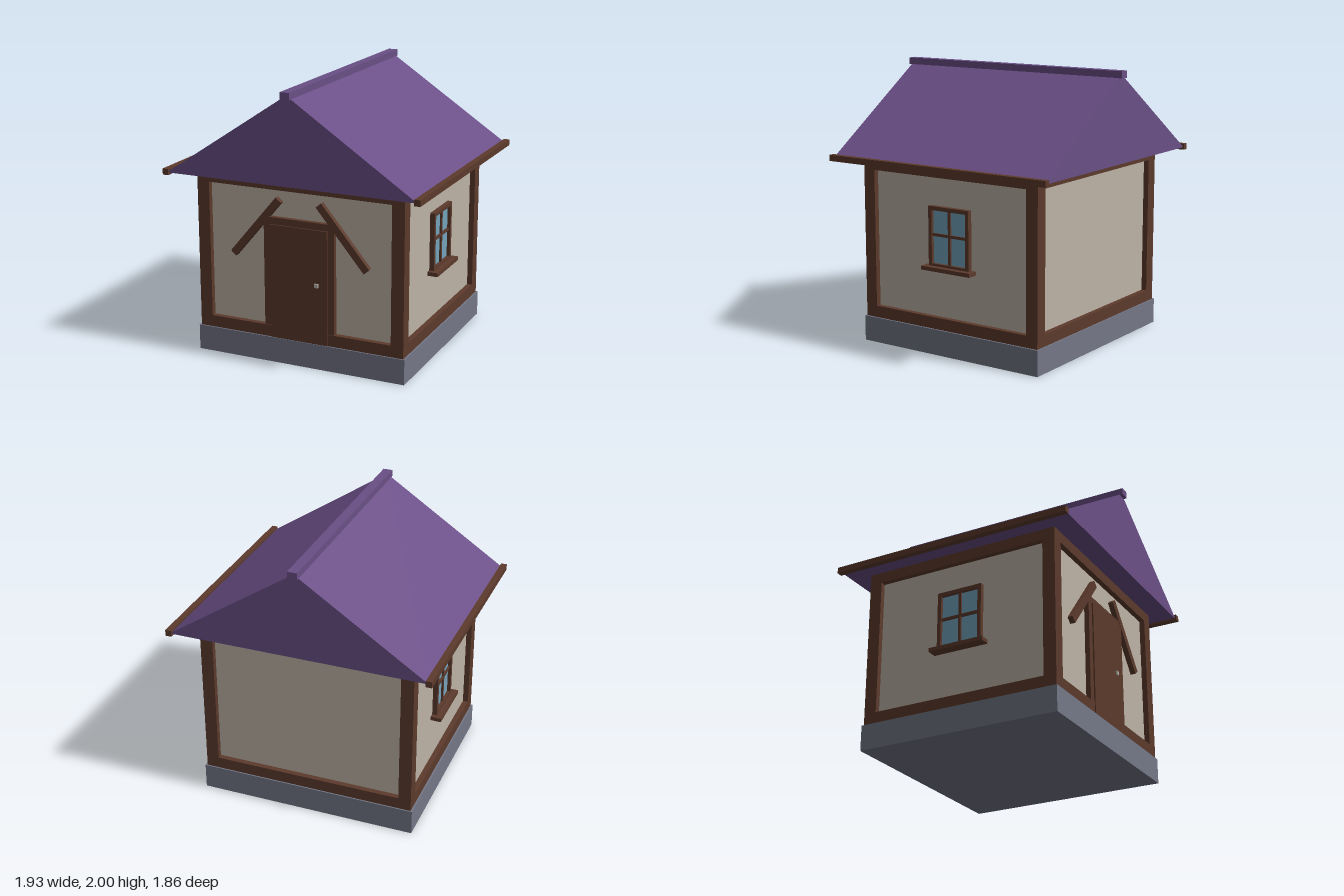
import * as THREE from 'three';

const mat = (name, color) => {
  const m = new THREE.MeshStandardMaterial({ color });
  m.name = name;
  return m;
};

export function createModel() {
  const wood = mat('dark wood', 0x5c3a2c);
  const plaster = mat('plaster', 0xbdb3a6);
  const stone = mat('stone', 0x747787);
  const purple = mat('roof purple', 0x6a4f86);
  const blue = mat('window glass', 0x74a3bc);
  const metal = mat('metal', 0xb5b2aa);

  const house = new THREE.Group();
  house.name = 'house';

  // Box given by its min and max corners
  const box = (name, m, [x0, y0, z0], [x1, y1, z1], parent = house) => {
    const mesh = new THREE.Mesh(new THREE.BoxGeometry(x1 - x0, y1 - y0, z1 - z0), m);
    mesh.position.set((x0 + x1) / 2, (y0 + y1) / 2, (z0 + z1) / 2);
    mesh.name = name;
    parent.add(mesh);
    return mesh;
  };

  // Foundation and recessed walls
  const W = 0.79, D = 0.745, P = 0.093, floor = 0.185, eave = 1.35;
  box('foundation', stone, [-0.803, 0, -0.755], [0.803, floor, 0.755]);
  box('walls', plaster, [-W + 0.04, floor, -D + 0.04], [W - 0.04, eave, D - 0.04]);

  // Timber frame: corner posts, sill beams and top beams
  for (const s of [-1, 1]) {
    for (const t of [-1, 1]) {
      const post = box('cornerPost', wood, [-P / 2, floor, -P / 2], [P / 2, eave, P / 2]);
      post.position.x = s * (W - P / 2);
      post.position.z = t * (D - P / 2);
    }
    for (const [y0, y1] of [[floor, 0.27], [1.27, eave]]) {
      const across = box('crossBeam', wood, [-W + P, y0, -P / 2], [W - P, y1, P / 2]);
      across.position.z = s * (D - P / 2);
      const along = box('sideBeam', wood, [-P / 2, y0, -D + P], [P / 2, y1, D - P]);
      along.position.x = s * (W - P / 2);
    }
  }

  // Door with frame and knob
  box('door', wood, [-0.22, floor, 0.69], [0.22, 1.02, 0.75]);
  box('doorKnob', metal, [0.127, 0.607, 0.75], [0.155, 0.635, 0.762]);
  for (const s of [-1, 1]) {
    const jamb = box('doorJamb', wood, [-0.025, floor, 0.69], [0.025, 1.02, 0.74]);
    jamb.position.x = s * 0.245;

    // Slanted brace beside the door
    const brace = box('brace', wood, [-0.28, -0.0265, 0.69], [0.28, 0.0265, 0.743]);
    brace.position.x = s * 0.333;
    brace.position.y = 0.984;
    brace.rotation.z = -s * Math.atan2(0.43, 0.36);
  }
  box('doorLintel', wood, [-0.27, 1.02, 0.69], [0.27, 1.07, 0.74]);

  // Side windows, built facing +x and turned for the other side
  for (const s of [-1, 1]) {
    const win = new THREE.Group();
    win.name = s > 0 ? 'leftWindow' : 'rightWindow';
    box('glass', blue, [0.74, 0.65, -0.15], [0.762, 1.05, 0.15], win);
    for (const t of [-1, 1]) {
      const stile = box('windowStile', wood, [0.74, 0.64, -0.014], [0.785, 1.065, 0.014], win);
      stile.position.z = t * 0.159;
    }
    box('windowHead', wood, [0.74, 1.037, -0.145], [0.785, 1.065, 0.145], win);
    box('windowFoot', wood, [0.74, 0.64, -0.145], [0.785, 0.657, 0.145], win);
    box('mullion', wood, [0.74, 0.657, -0.01], [0.776, 1.037, 0.01], win);
    box('transom', wood, [0.74, 0.852, -0.145], [0.775, 0.872, 0.145], win);
    box('windowSill', wood, [0.74, 0.612, -0.21], [0.828, 0.64, 0.21], win);
    if (s < 0) win.rotation.y = Math.PI;
    house.add(win);
  }

  // Gabled roof as a solid prism
  const gable = new THREE.Shape();
  gable.moveTo(-0.94, eave);
  gable.lineTo(0.94, eave);
  gable.lineTo(0, 1.975);
  gable.closePath();
  const roof = new THREE.Mesh(
    new THREE.ExtrudeGeometry(gable, { depth: 1.81, bevelEnabled: false }), purple);
  roof.position.z = -0.905;
  roof.name = 'roof';
  house.add(roof);

  // Ridge cap and eave boards
  box('ridgeCap', purple, [-0.035, 1.95, -0.928], [0.035, 2, 0.928]);
  for (const s of [-1, 1]) {
    const board = box('eaveBoard', wood, [-0.022, 1.334, -0.918], [0.022, 1.378, 0.918]);
    board.position.x = s * 0.943;
  }
  return house;
}
